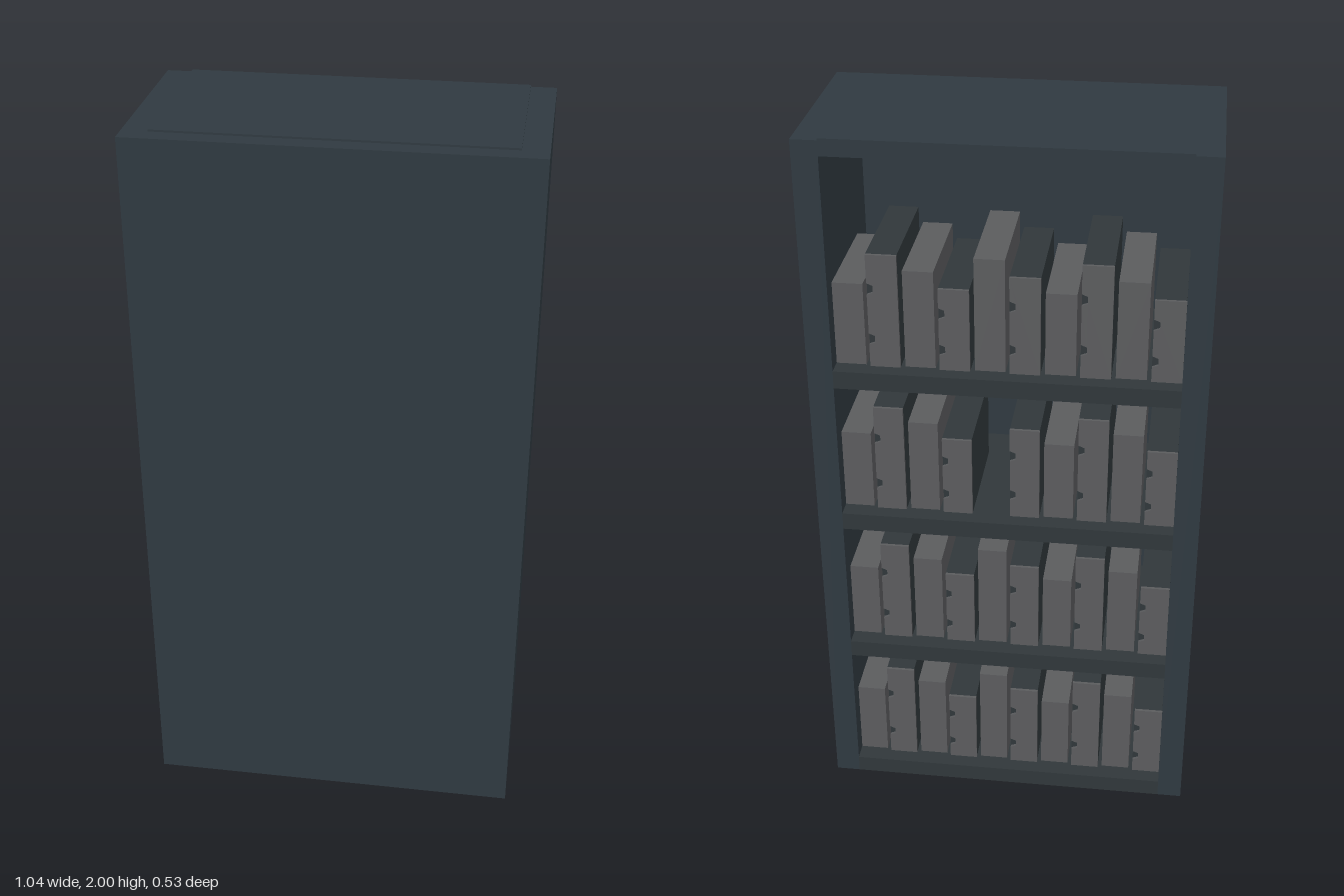
import * as THREE from 'three';

export function createModel() {
  const root = new THREE.Group();
  root.name = 'bookcase';

  const material = (name, color) => {
    const m = new THREE.MeshStandardMaterial({ color });
    m.name = name;
    return m;
  };
  const slate = material('slate blue', 0x303a41);
  const charcoal = material('charcoal', 0x31383b);
  const grey = material('book grey', 0x5c5d5f);

  // Box given by its lower and upper limits on each axis
  const box = (parent, name, mat, [x0, x1], [y0, y1], [z0, z1]) => {
    const mesh = new THREE.Mesh(new THREE.BoxGeometry(x1 - x0, y1 - y0, z1 - z0), mat);
    mesh.position.set((x0 + x1) / 2, (y0 + y1) / 2, (z0 + z1) / 2);
    mesh.name = name;
    parent.add(mesh);
    return mesh;
  };

  const W = 0.52, IN = 0.452, BACK = -0.265, WALL = 0.215, FRONT = 0.265;

  // Case: closed panel at +z, open shelves at -z
  box(root, 'closedPanel', slate, [-W, W], [0, 1.995], [WALL, FRONT]);
  box(root, 'leftSide', slate, [IN, W], [0, 1.995], [BACK, WALL]);
  box(root, 'rightSide', slate, [-W, -IN], [0, 1.995], [BACK, WALL]);
  box(root, 'topPanel', slate, [-IN, IN], [1.955, 2], [BACK, WALL]);
  const shelfTops = [0.05, 0.49, 0.93, 1.37];
  for (const y of shelfTops) {
    box(root, 'shelf', charcoal, [-IN, IN], [y - 0.05, y], [BACK, WALL]);
  }

  // Books: plain grey ones alternate with dark ones that have a notched grey spine
  const heights = [0.23, 0.315, 0.272];
  const pitch = 0.0915, halfWidth = 0.04, spineZ = -0.215, depth = 0.32;

  const notchedSpine = (h) => {
    const s = new THREE.Shape();
    const r = 0.016;
    s.moveTo(-halfWidth, 0);
    s.lineTo(halfWidth, 0);
    for (const t of [0.25, 0.7]) {
      s.lineTo(halfWidth, h * t - r);
      s.lineTo(halfWidth - r, h * t - r * 0.6);
      s.lineTo(halfWidth - r, h * t + r * 0.6);
      s.lineTo(halfWidth, h * t + r);
    }
    s.lineTo(halfWidth, h);
    s.lineTo(-halfWidth, h);
    s.closePath();
    return new THREE.ExtrudeGeometry(s, { depth: 0.008, bevelEnabled: false });
  };

  shelfTops.forEach((y, row) => {
    const books = new THREE.Group();
    books.name = 'bookRow';
    root.add(books);
    for (let i = 0; i < 10; i++) {
      if (row === 2 && i === 4) continue; // empty slot
      const x = (4.5 - i) * pitch;
      const h = heights[i % 3];
      const dark = i % 2 === 1;
      box(books, dark ? 'darkBook' : 'greyBook', dark ? charcoal : grey,
        [x - halfWidth, x + halfWidth], [y, y + h], [spineZ, spineZ + depth]);
      if (dark) {
        const spine = new THREE.Mesh(notchedSpine(h), grey);
        spine.name = 'bookSpine';
        spine.position.set(x, y, spineZ - 0.008);
        books.add(spine);
      }
    }
  });

  return root;
}
